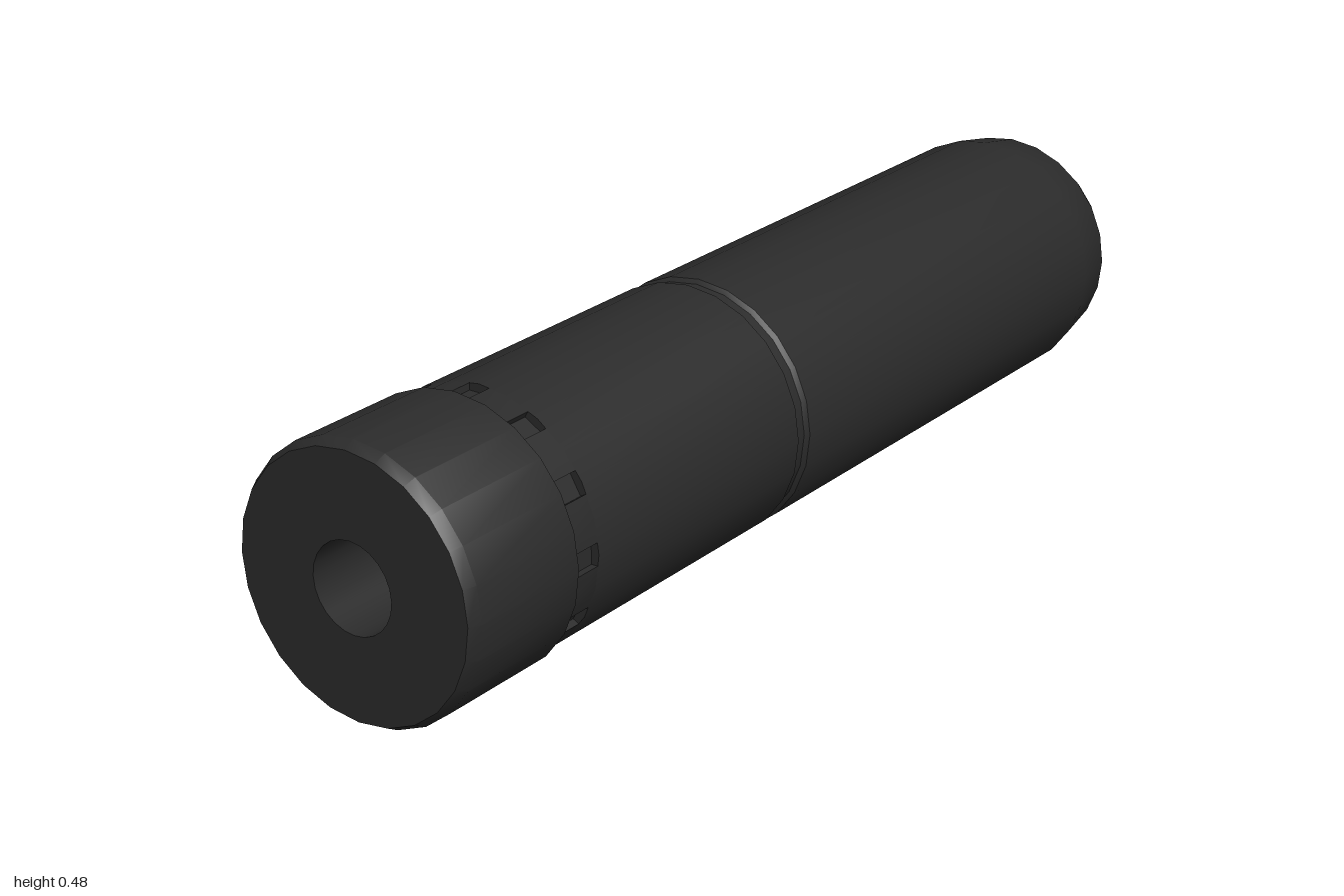
import * as THREE from 'three';
import { toCreasedNormals } from 'three/addons/utils/BufferGeometryUtils.js';

const SIDES = 24;
const R = 0.231; // tube radius
const COLLAR = 0.239; // collar radius
const BORE = 0.079, EXIT = 0.054;
const SLOT_Z0 = 0.69, SLOT_Z1 = 0.75;

export function createModel() {
  const model = new THREE.Group();
  model.name = 'cylinderAssembly';
  const black = new THREE.MeshStandardMaterial({ color: 0x2b2b2b });
  black.name = 'matteBlack';

  const axis = new THREE.Group();
  axis.name = 'tube';
  axis.position.y = COLLAR;
  model.add(axis);

  function add(name, geometry) {
    const mesh = new THREE.Mesh(geometry, black);
    mesh.name = name;
    axis.add(mesh);
  }

  // Turned surface along z from [radius, z] points, creased at hard edges
  function turned(name, points) {
    const g = new THREE.LatheGeometry(points.map(([r, z]) => new THREE.Vector2(r, z)), SIDES);
    g.rotateX(Math.PI / 2);
    add(name, toCreasedNormals(g, 0.5));
  }

  // Rear tube with rounded end
  turned('rearTube', [
    [EXIT, -1], [0.173, -1], [0.212, -0.94], [R, -0.84], [R, 0.108], [0.224, 0.115],
  ]);
  // Groove between the two tube halves
  turned('jointGroove', [[0.224, 0.115], [0.224, 0.135]]);
  // Front tube up to the slots
  turned('frontTube', [[0.224, 0.135], [R, 0.142], [R, SLOT_Z0], [0.2, SLOT_Z0]]);
  // Collar with chamfered rim and front face
  turned('frontCollar', [
    [0.2, SLOT_Z1], [COLLAR, SLOT_Z1], [COLLAR, 0.98], [0.228, 1], [BORE, 1],
  ]);
  // Bore, narrowing at the rear wall
  turned('bore', [[BORE, 1], [BORE, -0.85], [EXIT, -0.85], [EXIT, -1]]);

  // Ring with twelve pockets
  const half = 0.02, floor = 0.216;
  const edge = R - half * Math.tan(Math.PI / SIDES);
  const ring = new THREE.Shape();
  const outline = [];
  for (let i = 0; i < 12; i++) {
    const a = (i * Math.PI) / 6;
    const corners = [[edge, -half], [floor, -half], [floor, half], [edge, half]];
    for (const [r, t] of corners) {
      outline.push(new THREE.Vector2(
        r * Math.cos(a) - t * Math.sin(a),
        r * Math.sin(a) + t * Math.cos(a),
      ));
    }
    const b = a + Math.PI / 12;
    outline.push(new THREE.Vector2(R * Math.cos(b), R * Math.sin(b)));
  }
  ring.setFromPoints(outline);
  ring.holes.push(new THREE.Path().absarc(0, 0, 0.12, 0, Math.PI * 2, true));
  const ringGeometry = new THREE.ExtrudeGeometry(ring, {
    depth: SLOT_Z1 - SLOT_Z0, bevelEnabled: false, curveSegments: 12,
  });
  ringGeometry.translate(0, 0, SLOT_Z0);
  add('slottedRing', toCreasedNormals(ringGeometry, 0.5));

  return model;
}
